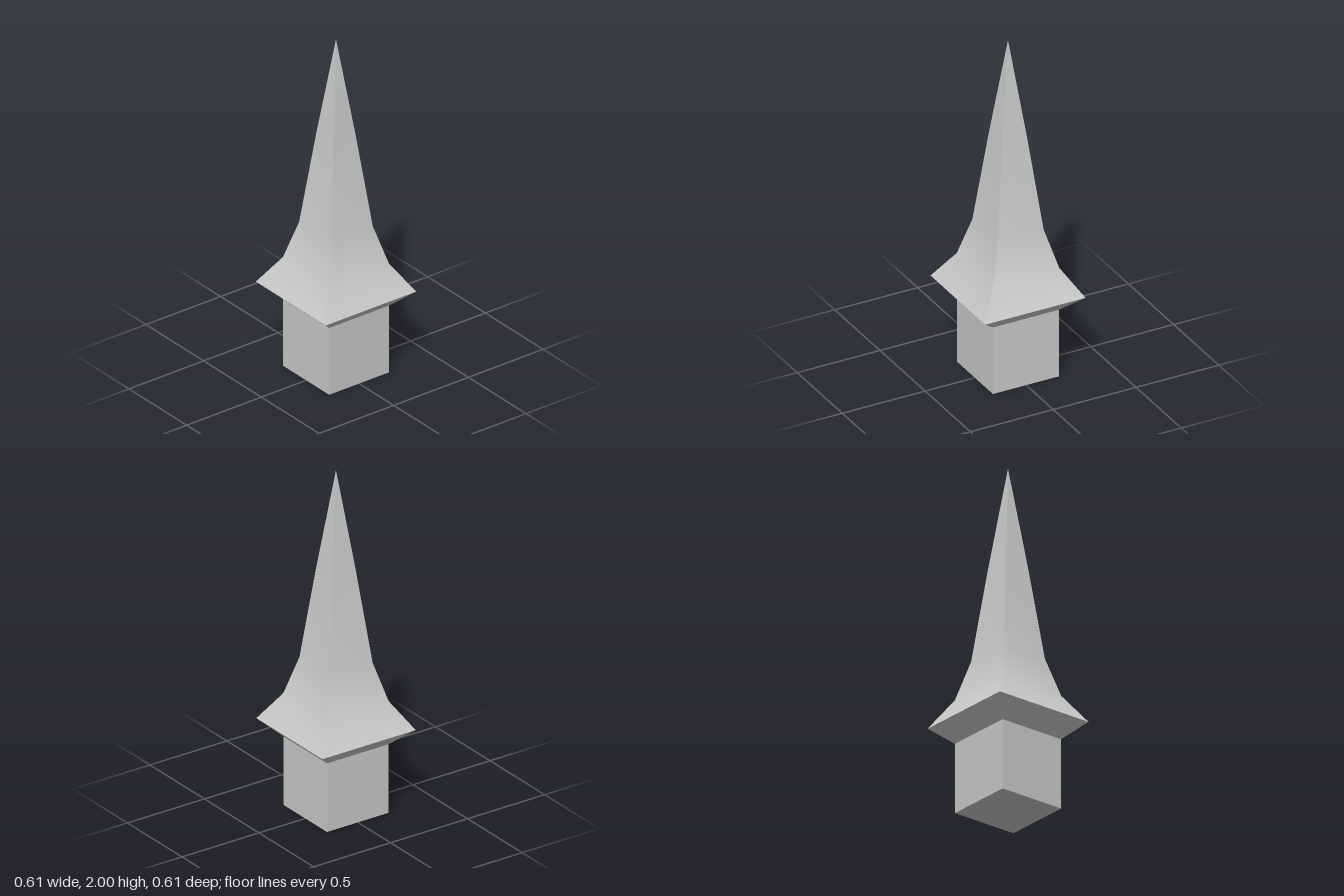
import * as THREE from 'three';
import { toCreasedNormals } from 'three/addons/utils/BufferGeometryUtils.js';

const material = new THREE.MeshStandardMaterial({ color: 0xcccccc });

// Four-sided form from [half width, height] pairs, bottom to top:
// smooth along each side, sharp at the corners
function squareLathe(name, profile) {
  const points = profile.map(([half, y]) => new THREE.Vector2(half * Math.SQRT2, y));
  const geometry = new THREE.LatheGeometry(points, 4).rotateY(Math.PI / 4);
  const mesh = new THREE.Mesh(toCreasedNormals(geometry, Math.PI / 5), material);
  mesh.name = name;
  return mesh;
}

export function createModel() {
  const group = new THREE.Group();
  group.name = 'spireTower';

  // Square pillar
  const pillar = new THREE.Mesh(new THREE.BoxGeometry(0.4, 0.405, 0.4), material);
  pillar.name = 'pillar';
  pillar.position.y = 0.2025;
  group.add(pillar);

  // Sloping underside of the eaves
  group.add(squareLathe('eavesUnderside', [[0.2, 0.405], [0.303, 0.5]]));

  // Flared spire roof
  group.add(squareLathe('spireRoof', [
    [0.303, 0.5], [0.2, 0.66], [0.139, 0.88], [0.075, 1.42], [0, 2],
  ]));

  return group;
}
